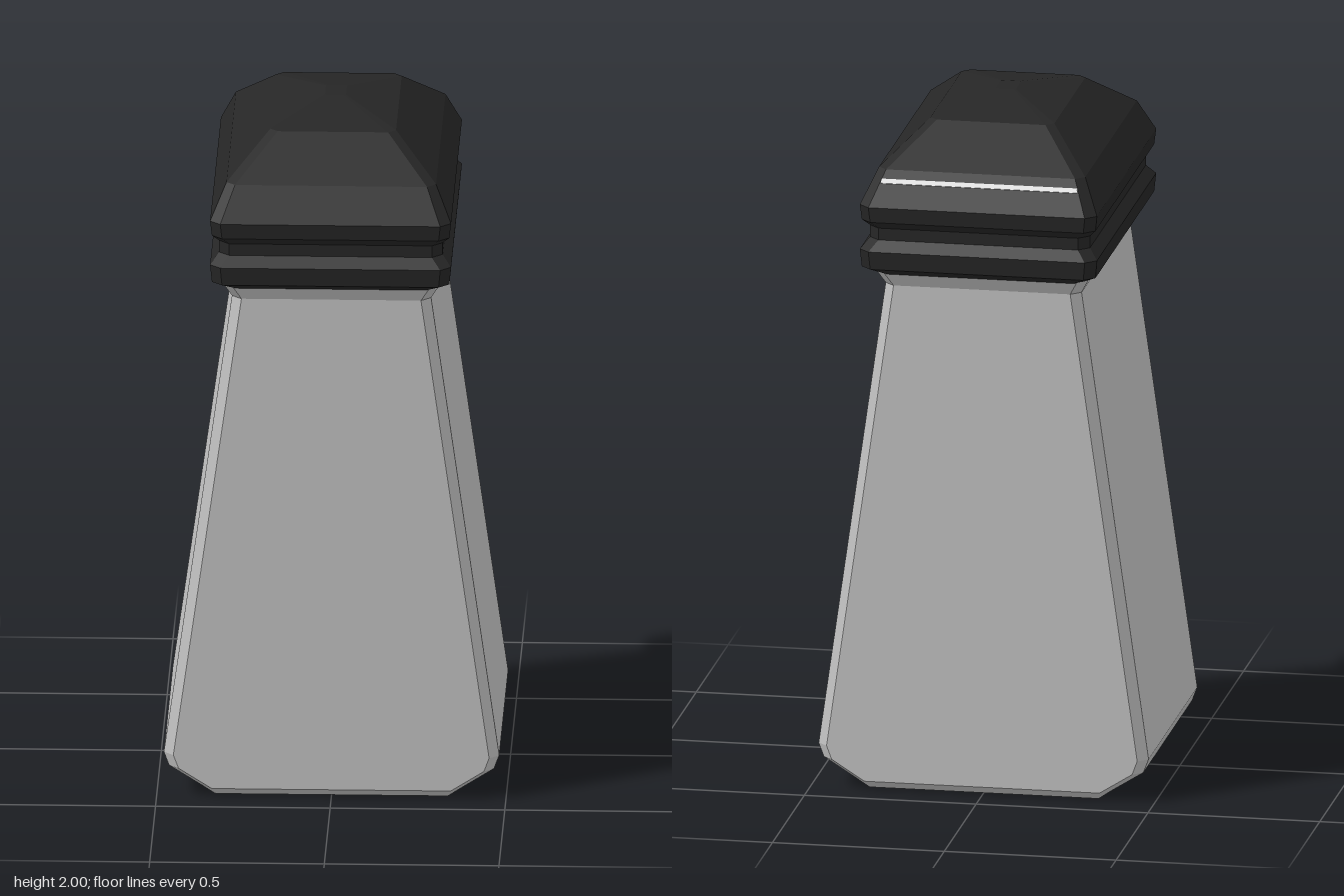
import * as THREE from 'three';

// Rectangle with cut corners, as points on one level: [half width, y, half depth, corner cut]
function ring([w, y, d, c]) {
  return [
    [w, d - c], [w - c, d], [c - w, d], [-w, d - c],
    [-w, c - d], [c - w, -d], [w - c, -d], [w, c - d],
  ].map(([x, z]) => [x, y, z]);
}

// Closed, hard-edged solid through the levels from bottom to top
function loft(levels) {
  const rings = levels.map(ring);
  const pos = [];
  const tri = (a, b, c) => pos.push(...a, ...b, ...c);
  const last = rings.length - 1;
  const n = 8;
  for (let j = 0; j < n; j++) {
    const k = (j + 1) % n;
    for (let i = 0; i < last; i++) {
      const lo = rings[i], hi = rings[i + 1];
      tri(lo[j], hi[j], hi[k]);
      tri(lo[j], hi[k], lo[k]);
    }
    tri([0, levels[0][1], 0], rings[0][j], rings[0][k]);
    tri([0, levels[last][1], 0], rings[last][k], rings[last][j]);
  }
  const geo = new THREE.BufferGeometry();
  geo.setAttribute('position', new THREE.Float32BufferAttribute(pos, 3));
  geo.computeVertexNormals();
  return geo;
}

export function createModel() {
  const group = new THREE.Group();
  const mat = (name, color) => {
    const m = new THREE.MeshStandardMaterial({ color });
    m.name = name;
    return m;
  };
  const grey = mat('light grey', 0xc2c2c2);
  const black = mat('black', 0x262626);
  const white = mat('white', 0xf0f0f0);

  const add = (name, geo, material) => {
    const mesh = new THREE.Mesh(geo, material);
    mesh.name = name;
    group.add(mesh);
    return mesh;
  };

  // Tapered body with bevelled edges and a flared neck
  add('body', loft([
    [0.335, 0, 0.38, 0.004],
    [0.37, 0.025, 0.41, 0.028],
    [0.465, 0.085, 0.41, 0.028],
    [0.48, 0.125, 0.41, 0.028],
    [0.285, 1.505, 0.41, 0.028],
    [0.31, 1.55, 0.435, 0.028],
  ]), grey);

  // Domed cap with a groove around its rim
  add('cap', loft([
    [0.29, 1.543, 0.43, 0.02],
    [0.34, 1.572, 0.49, 0.03],
    [0.345, 1.625, 0.495, 0.03],
    [0.32, 1.655, 0.468, 0.03],
    [0.32, 1.69, 0.468, 0.03],
    [0.34, 1.712, 0.49, 0.03],
    [0.345, 1.757, 0.495, 0.03],
    [0.30, 1.855, 0.43, 0.025],
    [0.18, 1.963, 0.265, 0.022],
    [0.03, 2, 0.045, 0.004],
  ]), black);

  // Thin pale line across the back of the cap
  const line = add('backLine', new THREE.BoxGeometry(0.57, 0.014, 0.006), white);
  line.position.set(0, 1.825, -0.45);
  line.rotation.x = 0.586;

  return group;
}
